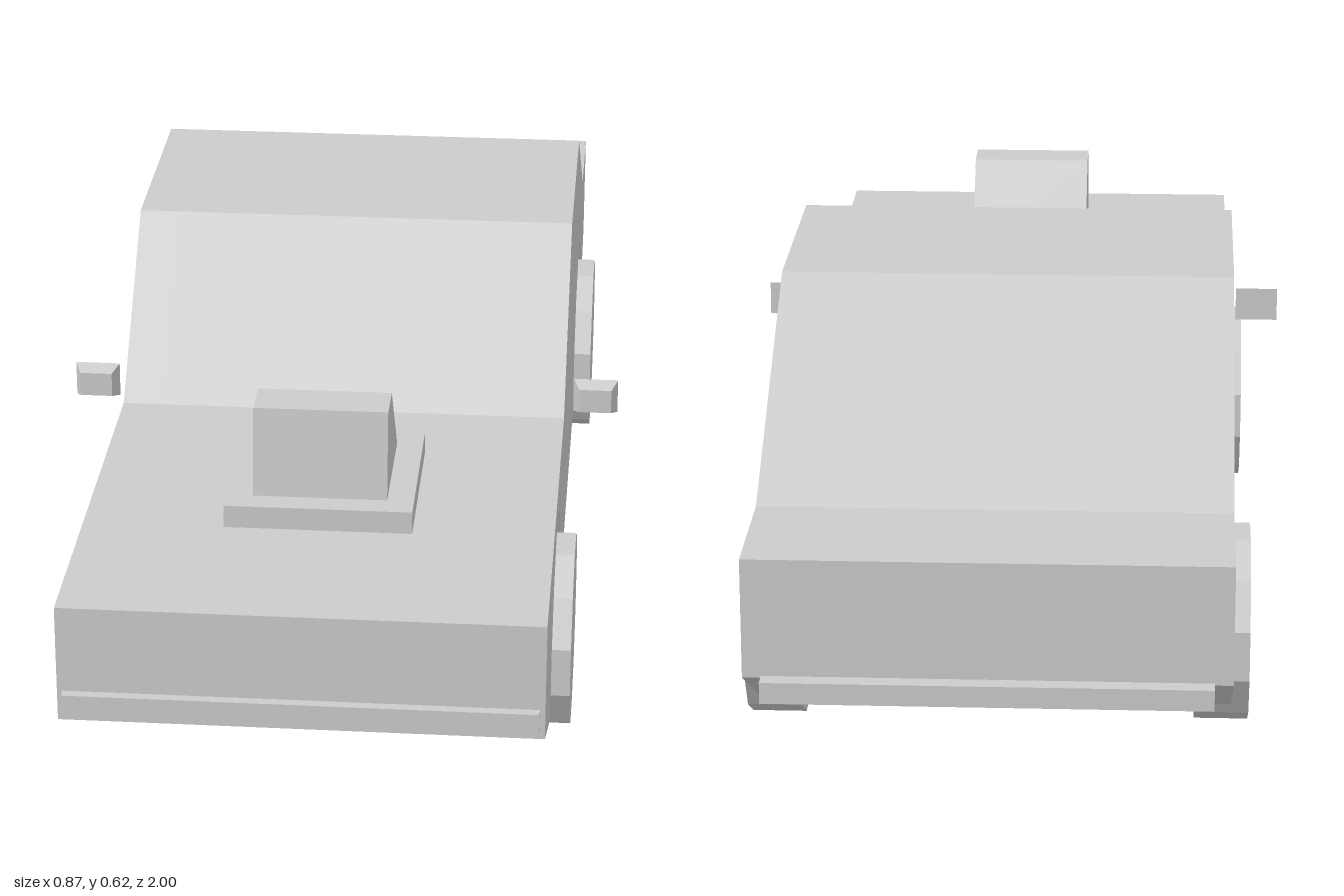
import * as THREE from 'three';

const material = new THREE.MeshStandardMaterial({ color: 0xcccccc, flatShading: true });

const HALF_WIDTH = 0.35;
const POCKET_X = 0.29; // inner wall of the wheel pockets
const BELLY = 0.083;
const AXLES = [0.532, -0.578];
const WHEEL_Y = 0.145;
const FACET = Math.PI / 12; // half a side of a 12-sided wheel

function addMesh(parent, name, geometry, x = 0, y = 0, z = 0) {
  const mesh = new THREE.Mesh(geometry, material);
  mesh.name = name;
  mesh.position.set(x, y, z);
  parent.add(mesh);
  return mesh;
}

// Side profile given as [z, y] points, extruded across x from x0 to x1
function extrudeAcross(points, x0, x1) {
  const shape = new THREE.Shape(points.map(([z, y]) => new THREE.Vector2(z, y)));
  const geometry = new THREE.ExtrudeGeometry(shape, { depth: x1 - x0, bevelEnabled: false });
  return geometry.rotateY(-Math.PI / 2).translate(x1, 0, 0);
}

function box(parent, name, x, [y0, y1], [z0, z1]) {
  const geometry = new THREE.BoxGeometry(2 * x, y1 - y0, z1 - z0);
  return addMesh(parent, name, geometry, 0, (y0 + y1) / 2, (z0 + z1) / 2);
}

// Faceted wheel arch, from the front foot over the top to the rear foot
function archPoints(axleZ) {
  const apothem = 0.177;
  const radius = apothem / Math.cos(FACET);
  const points = [[axleZ + apothem, BELLY]];
  for (let i = 0; i < 6; i++) {
    const a = FACET * (2 * i + 1);
    points.push([axleZ + radius * Math.cos(a), WHEEL_Y + radius * Math.sin(a)]);
  }
  points.push([axleZ - apothem, BELLY]);
  return points;
}

export function createModel() {
  const car = new THREE.Group();
  car.name = 'car';

  // Body: a full core and two side slabs with the arches cut out
  const upper = [
    [-0.974, 0.205], [-0.974, 0.385], [-0.757, 0.385], [-0.343, 0.62],
    [0.04, 0.62], [0.28, 0.385], [0.985, 0.385], [0.985, 0.205],
  ];
  const core = [...upper, [0.709, BELLY], [-0.755, BELLY]];
  const side = [...upper, ...AXLES.flatMap(archPoints)];
  addMesh(car, 'bodyCore', extrudeAcross(core, -POCKET_X, POCKET_X));
  addMesh(car, 'leftBodySide', extrudeAcross(side, POCKET_X, HALF_WIDTH));
  addMesh(car, 'rightBodySide', extrudeAcross(side, -HALF_WIDTH, -POCKET_X));

  // Bumpers
  box(car, 'frontBumper', 0.342, [0.22, 0.252], [0.96, 1]);
  box(car, 'rearBumper', 0.323, [0.176, 0.208], [-1, -0.915]);

  // Hood scoop on its base plate
  box(car, 'scoopBase', 0.14, [0.38, 0.42], [0.428, 0.708]);
  const scoop = [[0.468, 0.415], [0.468, 0.42], [0.584, 0.556], [0.654, 0.556], [0.67, 0.42], [0.67, 0.415]];
  addMesh(car, 'hoodScoop', extrudeAcross(scoop, -0.1, 0.1));

  // Mirror housing: a box whose front face is narrowed
  const mirrorGeometry = new THREE.BoxGeometry(0.07, 0.055, 0.024);
  const p = mirrorGeometry.attributes.position;
  for (let i = 0; i < p.count; i++) {
    if (p.getZ(i) > 0) p.setXY(i, p.getX(i) * 0.72, p.getY(i) * 0.7);
  }

  // Wheels and mirrors on both sides
  const wheelGeometry = new THREE.CylinderGeometry(
    WHEEL_Y / Math.cos(FACET), WHEEL_Y / Math.cos(FACET), 0.082, 12, 1, false, FACET,
  ).rotateZ(Math.PI / 2);
  for (const [label, s] of [['left', 1], ['right', -1]]) {
    addMesh(car, label + 'FrontWheel', wheelGeometry, s * 0.337, WHEEL_Y, AXLES[0]);
    addMesh(car, label + 'RearWheel', wheelGeometry, s * 0.337, WHEEL_Y, AXLES[1]);
    addMesh(car, label + 'Mirror', mirrorGeometry, s * 0.398, 0.402, 0.238);
  }

  return car;
}
